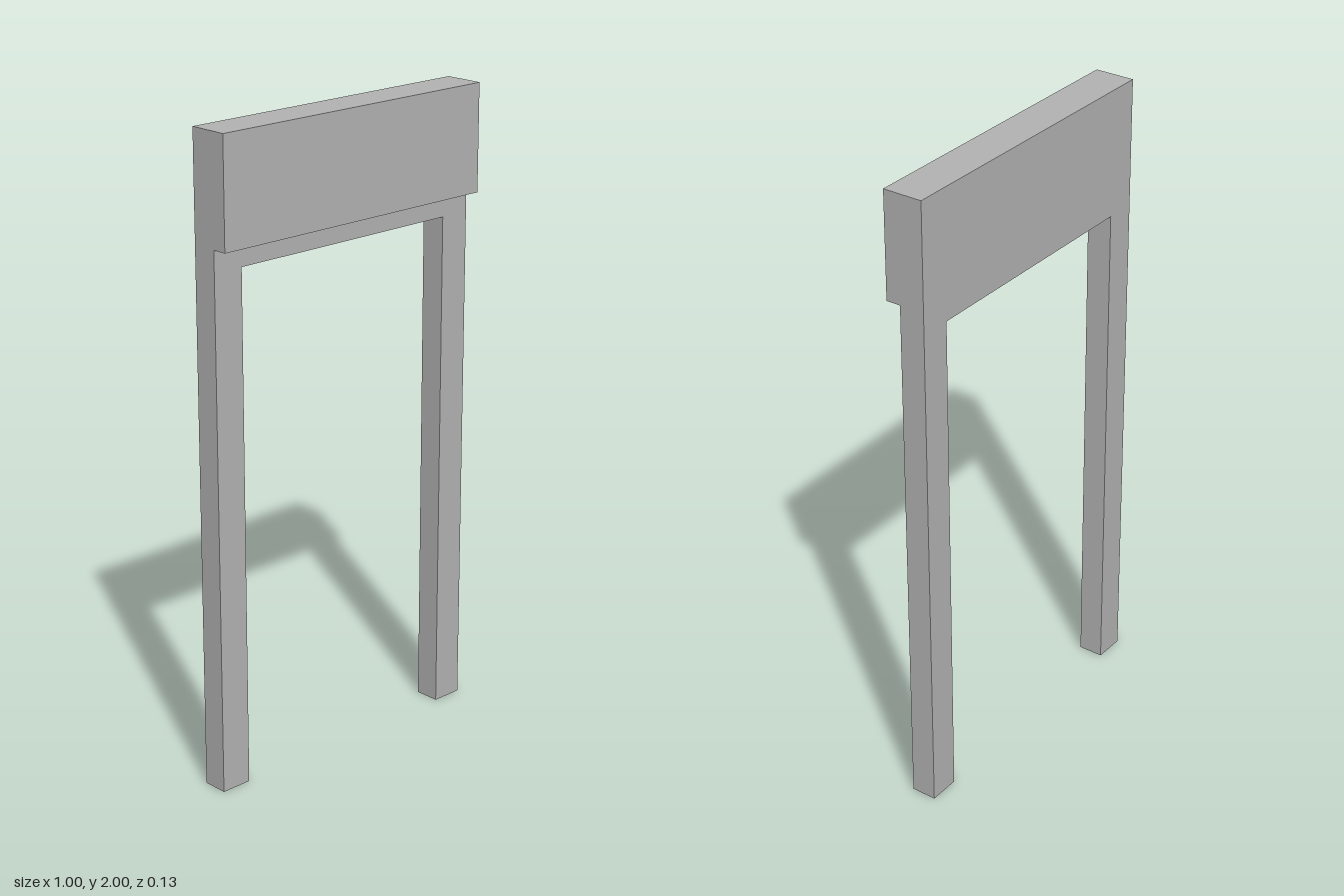
import * as THREE from 'three';

export function createModel() {
  const group = new THREE.Group();
  const grey = new THREE.MeshStandardMaterial({ color: 0xb2b2b2 });
  grey.name = 'grey';

  const halfWidth = 0.5, halfOpening = 0.4;
  const height = 2, openingHeight = 1.6, panelBottom = 1.667;
  const back = -0.063, step = 0.017, front = 0.063;

  // Frame: two posts and a lintel in one piece
  const outline = new THREE.Shape([
    [-halfWidth, 0], [-halfOpening, 0], [-halfOpening, openingHeight],
    [halfOpening, openingHeight], [halfOpening, 0], [halfWidth, 0],
    [halfWidth, height], [-halfWidth, height],
  ].map(([x, y]) => new THREE.Vector2(x, y)));
  const frame = new THREE.Mesh(
    new THREE.ExtrudeGeometry(outline, { depth: step - back, bevelEnabled: false }), grey);
  frame.position.z = back;
  frame.name = 'frame';
  group.add(frame);

  // Raised panel across the front of the lintel
  const panel = new THREE.Mesh(
    new THREE.BoxGeometry(halfWidth * 2, height - panelBottom, front - step), grey);
  panel.position.set(0, (height + panelBottom) / 2, (front + step) / 2);
  panel.name = 'frontPanel';
  group.add(panel);

  return group;
}
